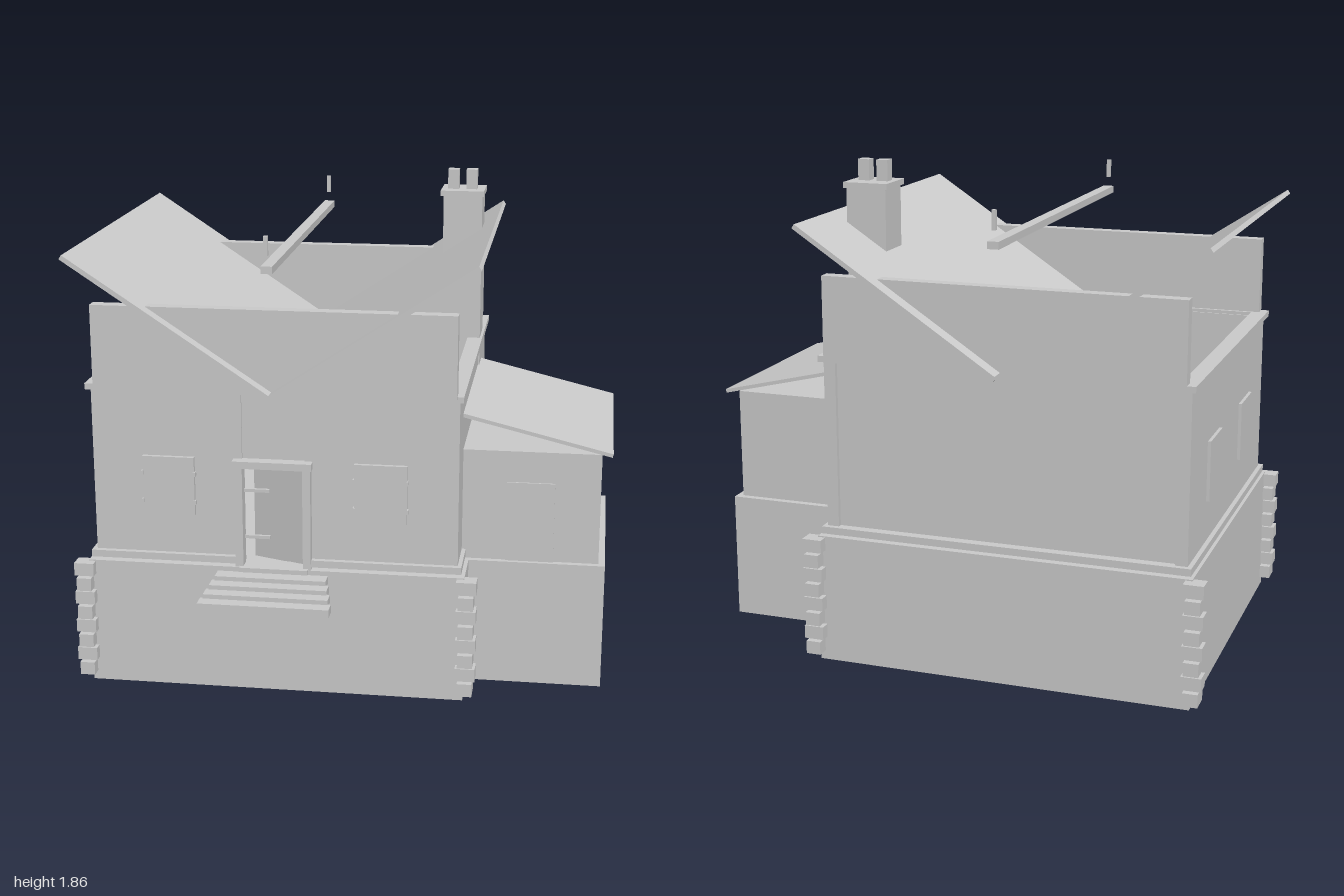
import * as THREE from 'three';

export function createModel() {
  const model = new THREE.Group();
  model.name = 'house';
  const plaster = new THREE.MeshStandardMaterial({ color: 0xcccccc });
  plaster.name = 'pale grey';

  // box given by its limits on each axis
  function box(name, x0, x1, y0, y1, z0, z1, parent = model) {
    const mesh = new THREE.Mesh(new THREE.BoxGeometry(x1 - x0, y1 - y0, z1 - z0), plaster);
    mesh.position.set((x0 + x1) / 2, (y0 + y1) / 2, (z0 + z1) / 2);
    mesh.name = name;
    parent.add(mesh);
    return mesh;
  }

  // sloping slab through two points in the xy plane, spanning z0..z1
  function slab(name, xa, ya, xb, yb, thick, z0, z1) {
    const len = Math.hypot(xb - xa, yb - ya);
    const mesh = new THREE.Mesh(new THREE.BoxGeometry(len, thick, z1 - z0), plaster);
    mesh.position.set((xa + xb) / 2, (ya + yb) / 2, (z0 + z1) / 2);
    mesh.rotation.z = Math.atan2(yb - ya, xb - xa);
    mesh.name = name;
    model.add(mesh);
  }

  // foundations
  box('foundation', -0.95, 0.473, 0, 0.49, -0.746, 0.594);
  box('annexFoundation', 0.473, 0.985, 0, 0.49, -0.426, 0.4);

  // corner stones, alternating in proportion
  for (const x of [-0.962, 0.482]) {
    for (const z of [0.597, -0.755]) {
      for (let i = 0; i < 8; i++) {
        const y = 0.06 + i * 0.0572;
        const w = i % 2 ? 0.0375 : 0.028, d = i % 2 ? 0.031 : 0.04;
        box('cornerStone', x - w, x + w, y - 0.025, y + 0.025, z - d, z + d);
      }
    }
  }

  // hollow main walls with a door opening
  box('leftSideWall', 0.4, 0.445, 0.49, 1.165, -0.717, 0.559);
  box('rightSideWall', -0.925, -0.88, 0.49, 1.165, -0.717, 0.559);
  box('backWall', -0.88, 0.4, 0.49, 1.165, -0.7, -0.67);
  box('frontWall', -0.88, -0.36, 0.49, 1.165, 0.514, 0.559);
  box('frontWall', -0.125, 0.4, 0.49, 1.165, 0.514, 0.559);
  box('panelOverDoor', -0.36, -0.125, 0.875, 1.165, 0.52, 0.55);

  // trim bands around the walls
  for (const [y0, y1] of [[0.498, 0.525], [1.155, 1.178]]) {
    box('bandBack', -0.942, 0.46, y0, y1, -0.737, -0.67);
    box('bandLeft', 0.4, 0.46, y0, y1, -0.67, 0.52);
    box('bandRight', -0.942, -0.88, y0, y1, -0.67, 0.52);
    if (y0 > 1) {
      box('bandFront', -0.942, 0.46, y0, y1, 0.52, 0.58);
    } else {
      box('bandFront', -0.942, -0.385, y0, y1, 0.52, 0.58);
      box('bandFront', -0.1, 0.46, y0, y1, 0.52, 0.58);
    }
  }

  // gable parapets
  box('frontParapet', -0.91, 0.435, 1.165, 1.475, 0.534, 0.583);
  box('backParapet', -0.91, 0.435, 1.165, 1.475, -0.74, -0.692);

  // butterfly roof, beam and pins
  slab('roofRight', -0.995, 1.658, -0.242, 1.16, 0.018, -0.8, 0.635);
  slab('roofLeft', -0.242, 1.16, 0.513, 1.658, 0.018, -0.8, 0.635);
  box('beam', -0.262, -0.22, 1.62, 1.647, -0.81, 0.645);
  for (const z of [0.64, -0.8]) box('beamPin', -0.25, -0.235, 1.685, 1.755, z - 0.008, z + 0.008);

  // chimney
  box('chimneyStack', 0.295, 0.45, 0.49, 1.76, -0.47, -0.323);
  box('chimneyCap', 0.283, 0.456, 1.755, 1.777, -0.487, -0.317);
  for (const x of [0.33, 0.403]) box('chimneyPot', x - 0.022, x + 0.022, 1.777, 1.855, -0.416, -0.372);

  // front windows and side windows, with small hinges
  for (const x of [-0.637, 0.158]) {
    box('frontWindow', x - 0.098, x + 0.098, 0.68, 0.905, 0.555, 0.575);
    for (const s of [-1, 1]) for (const y of [0.73, 0.84])
      box('windowHinge', x + s * 0.098 - 0.005, x + s * 0.098 + 0.005, y - 0.008, y + 0.008, 0.558, 0.577);
  }
  for (const z of [-0.347, 0.2]) box('sideWindow', -0.937, -0.92, 0.68, 0.905, z - 0.098, z + 0.098);

  // door case and a door standing ajar
  box('doorPost', -0.385, -0.355, 0.49, 0.88, 0.54, 0.59);
  box('doorPost', -0.13, -0.1, 0.49, 0.88, 0.54, 0.59);
  box('doorLintel', -0.392, -0.095, 0.878, 0.905, 0.54, 0.597);
  const door = new THREE.Group();
  door.name = 'door';
  door.position.set(-0.132, 0, 0.53);
  door.rotation.y = -0.35;
  box('doorLeaf', -0.21, 0, 0.492, 0.866, -0.012, 0.012, door);
  model.add(door);
  for (const y of [0.597, 0.78]) box('doorStrap', -0.355, -0.26, y - 0.006, y + 0.006, 0.54, 0.552);

  // stepped stairs
  for (let i = 0; i < 4; i++) {
    const w = 0.243 - i * 0.0115, y = 0.396 + i * 0.0165, z = 0.755 - i * 0.05;
    box('step', -0.242 - w, -0.242 + w, y, y + 0.031, z, z + 0.058);
  }
  box('landing', -0.37, -0.11, 0.47, 0.494, 0.52, 0.61);

  // annex with lean-to roof
  box('annexWalls', 0.445, 0.96, 0.49, 0.92, -0.4, 0.377);
  box('annexDoor', 0.61, 0.79, 0.49, 0.8, 0.375, 0.384);
  slab('annexRoof', 0.442, 1.06, 0.998, 0.926, 0.014, -0.438, 0.404);

  return model;
}
